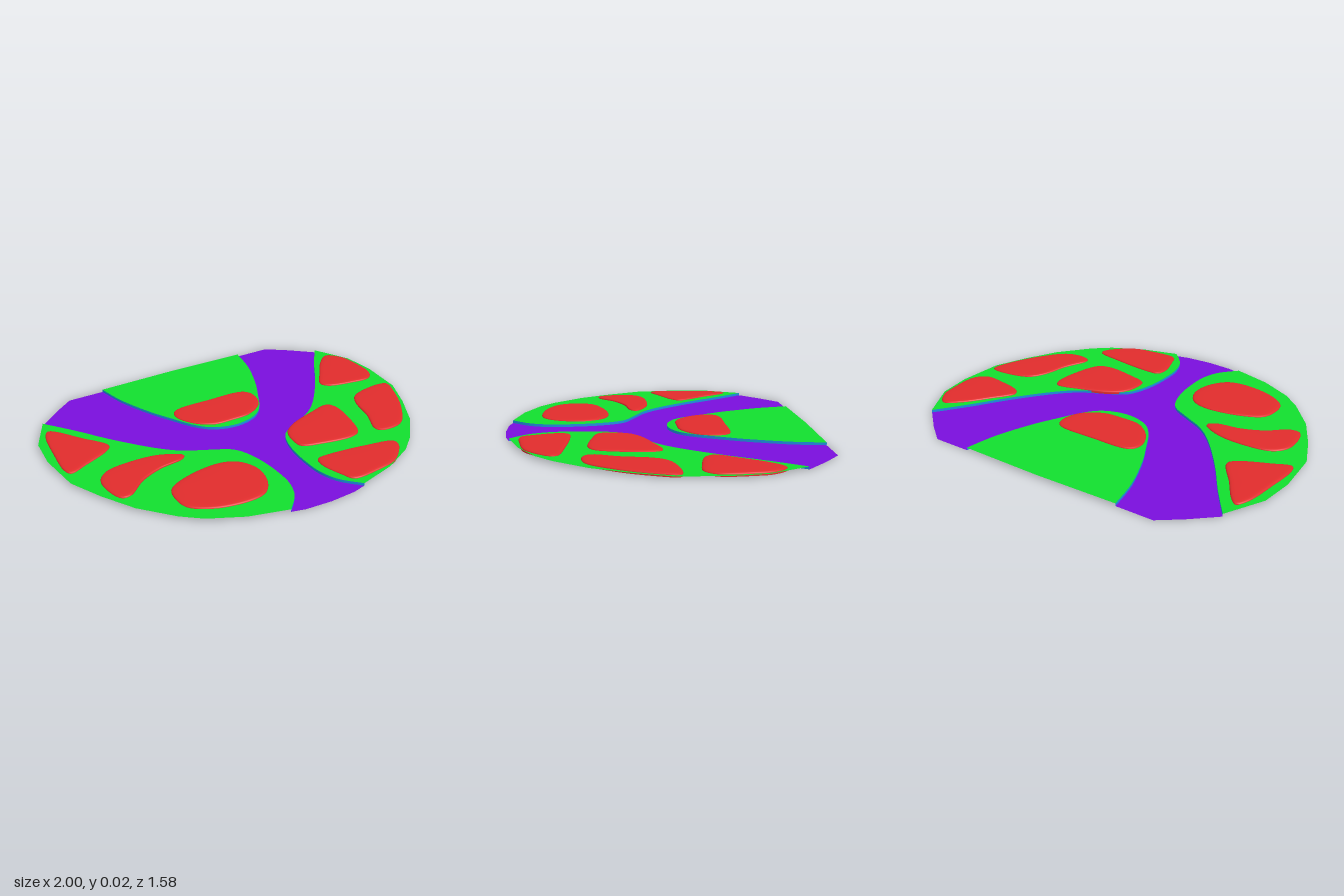
import * as THREE from 'three';

const material = (color) => new THREE.MeshStandardMaterial({ color, side: THREE.DoubleSide });
const green = material(0x12de2e), purple = material(0x7a0edc), blue = material(0x1e8ee0), red = material(0xe02c2c);

const BANK_Y = 0.014;
const toPoints = (flat) => {
  const pts = [];
  for (let i = 0; i < flat.length; i += 2) pts.push(new THREE.Vector2(flat[i], flat[i + 1]));
  return pts;
};
const smooth = (pts, n) => new THREE.SplineCurve(pts).getPoints(n);
const mirror = (pts) => pts.map((p) => new THREE.Vector2(-p.x, p.y));

// Flat sheet from (x, z) outline points, facing up
function sheet(name, pts, y, mat) {
  const geo = new THREE.ShapeGeometry(new THREE.Shape(pts.map((p) => new THREE.Vector2(p.x, -p.y))));
  geo.rotateX(-Math.PI / 2).translate(0, y, 0);
  const mesh = new THREE.Mesh(geo, mat);
  mesh.name = name;
  return mesh;
}

// Vertical wall along a line of points, from the bed up to the bank
function wall(name, pts) {
  const pos = [], idx = [];
  pts.forEach((p, i) => {
    pos.push(p.x, 0, p.y, p.x, BANK_Y, p.y);
    const a = 2 * i;
    if (i < pts.length - 1) idx.push(a, a + 2, a + 1, a + 1, a + 2, a + 3);
  });
  const geo = new THREE.BufferGeometry();
  geo.setAttribute('position', new THREE.Float32BufferAttribute(pos, 3));
  geo.setIndex(idx);
  geo.computeVertexNormals();
  const mesh = new THREE.Mesh(geo, blue);
  mesh.name = name;
  return mesh;
}

// Raised pad with a rounded rim, open underneath, lofted from inset rings
function pad(name, flat) {
  const N = 72;
  const curve = new THREE.CatmullRomCurve3(
    toPoints(flat).map((p) => new THREE.Vector3(p.x, 0, p.y)), true, 'centripetal');
  let ring = curve.getSpacedPoints(N).slice(0, N);
  if (THREE.ShapeUtils.area(ring.map((p) => new THREE.Vector2(p.x, p.z))) > 0) ring.reverse();
  const c = ring.reduce((s, p) => s.add(p), new THREE.Vector3()).divideScalar(N);
  const rings = [[1, 0.004], [1, 0.014], [0.985, 0.018], [0.95, 0.0205], [0.88, 0.0222], [0.75, 0.0228]];
  const pos = [], idx = [];
  for (const [s, y] of rings) {
    for (const p of ring) pos.push(c.x + (p.x - c.x) * s, y, c.z + (p.z - c.z) * s);
  }
  pos.push(c.x, 0.023, c.z);
  const centre = rings.length * N;
  for (let j = 0; j < rings.length; j++) {
    for (let i = 0; i < N; i++) {
      const k = (i + 1) % N, a = j * N + i, b = j * N + k;
      if (j < rings.length - 1) idx.push(a, b, a + N, b, b + N, a + N);
      else idx.push(a, b, centre);
    }
  }
  const geo = new THREE.BufferGeometry();
  geo.setAttribute('position', new THREE.Float32BufferAttribute(pos, 3));
  geo.setIndex(idx);
  geo.computeVertexNormals();
  const mesh = new THREE.Mesh(geo, red);
  mesh.name = name;
  return mesh;
}

export function createModel() {
  const group = new THREE.Group();
  group.name = 'reliefPlate';

  // Channel edges on the +x side, and the faceted rim between them
  const outer = smooth(toPoints([0.877, -0.59, 0.76, -0.43, 0.64, -0.25, 0.5, -0.07, 0.39, 0.035, 0.27, 0.1,
    0.17, 0.155, 0.125, 0.22, 0.095, 0.33, 0.085, 0.46, 0.092, 0.57, 0.13, 0.67, 0.21, 0.76]), 60);
  const rim = toPoints([0.41, 0.705, 0.58, 0.62, 0.675, 0.54, 0.81, 0.38, 0.905, 0.205, 0.98, 0.03,
    1, -0.21, 0.98, -0.39]);
  const innerHalf = toPoints([0.445, -0.785, 0.41, -0.61, 0.34, -0.42, 0.27, -0.28, 0.2, -0.155, 0.12, -0.08]);
  const inner = smooth([...innerHalf, new THREE.Vector2(0, -0.05), ...mirror(innerHalf).reverse()], 72);

  // Raised banks
  const side = [...outer, ...rim];
  group.add(sheet('leftBank', side, BANK_Y, green));
  group.add(sheet('rightBank', mirror(side), BANK_Y, green));
  group.add(sheet('backBank', [...inner, new THREE.Vector2(0, -0.793)], BANK_Y, green));

  // Sunken Y-shaped channel
  const corner = toPoints([0.755, -0.7, 0.645, -0.785]);
  const front = toPoints([0.14, 0.778, 0, 0.787, -0.14, 0.778]);
  group.add(sheet('channelBed', [...inner, ...mirror(corner).reverse(), ...mirror(outer), ...front.reverse(),
    ...[...outer].reverse(), ...corner], 0, purple));

  // Channel walls
  group.add(wall('leftChannelWall', outer));
  group.add(wall('rightChannelWall', mirror(outer)));
  group.add(wall('backChannelWall', inner));

  // Raised pads
  group.add(pad('backPad', [-0.22, -0.345, 0, -0.36, 0.215, -0.345, 0.245, -0.29, 0.215, -0.185, 0.11, -0.11,
    0, -0.1, -0.115, -0.11, -0.205, -0.185, -0.245, -0.285]));
  group.add(pad('rightBackPad', [-0.888, -0.495, -0.85, -0.465, -0.77, -0.345, -0.675, -0.195, -0.715, -0.15,
    -0.85, -0.085, -0.945, -0.048, -0.962, -0.09, -0.948, -0.265, -0.92, -0.44]));
  group.add(pad('rightMiddlePad', [-0.85, 0.085, -0.795, 0.025, -0.665, 0.003, -0.5, 0.02, -0.395, 0.085,
    -0.425, 0.115, -0.555, 0.138, -0.675, 0.19, -0.78, 0.275, -0.825, 0.277, -0.855, 0.2]));
  group.add(pad('rightFrontPad', [-0.62, 0.405, -0.595, 0.325, -0.475, 0.265, -0.29, 0.243, -0.2, 0.28,
    -0.15, 0.38, -0.17, 0.5, -0.235, 0.585, -0.325, 0.607, -0.5, 0.575, -0.605, 0.5]));
  group.add(pad('leftBackPad', [0.888, -0.49, 0.955, -0.42, 0.973, -0.32, 0.968, -0.17, 0.915, -0.115,
    0.81, -0.12, 0.665, -0.158, 0.642, -0.2, 0.715, -0.313, 0.81, -0.435]));
  group.add(pad('leftOuterPad', [0.915, -0.024, 0.963, -0.008, 0.93, 0.11, 0.845, 0.27, 0.727, 0.398,
    0.605, 0.404, 0.583, 0.372, 0.636, 0.233, 0.674, 0.083, 0.727, 0.013]));
  group.add(pad('leftInnerPad', [0.524, 0.024, 0.55, 0.067, 0.535, 0.217, 0.487, 0.35, 0.422, 0.377,
    0.246, 0.35, 0.155, 0.318, 0.144, 0.27, 0.171, 0.163, 0.246, 0.104, 0.38, 0.056]));
  group.add(pad('leftFrontPad', [0.15, 0.463, 0.22, 0.457, 0.433, 0.484, 0.583, 0.521, 0.588, 0.553,
    0.47, 0.671, 0.326, 0.703, 0.193, 0.703, 0.166, 0.644, 0.134, 0.521]));

  return group;
}
